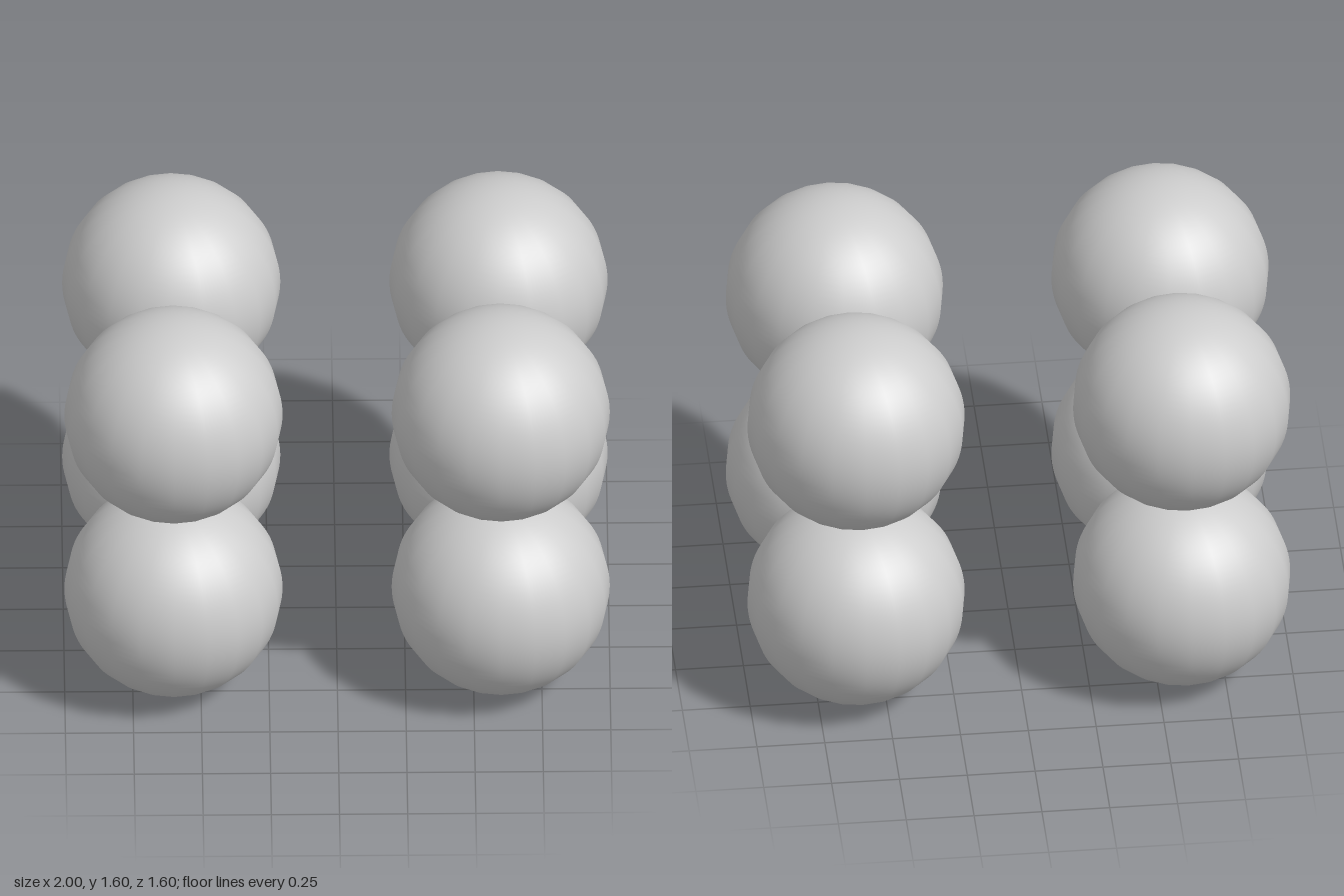
import * as THREE from 'three';

export function createModel() {
  const group = new THREE.Group();
  group.name = 'sphereCluster';
  const material = new THREE.MeshStandardMaterial({ color: 0xcccccc });
  const radius = 0.4;
  // Twenty meridians with fine rings
  const geometry = new THREE.SphereGeometry(radius, 20, 48);

  // One ball at each corner of a box; they touch in y and z, with a gap in x
  for (const [level, y] of [['lower', radius], ['upper', 3 * radius]]) {
    for (const [depth, z] of [['Front', radius], ['Back', -radius]]) {
      for (const [side, x] of [['Left', 0.6], ['Right', -0.6]]) {
        const ball = new THREE.Mesh(geometry, material);
        ball.name = `${level}${depth}${side}Ball`;
        ball.position.set(x, y, z);
        group.add(ball);
      }
    }
  }
  return group;
}
